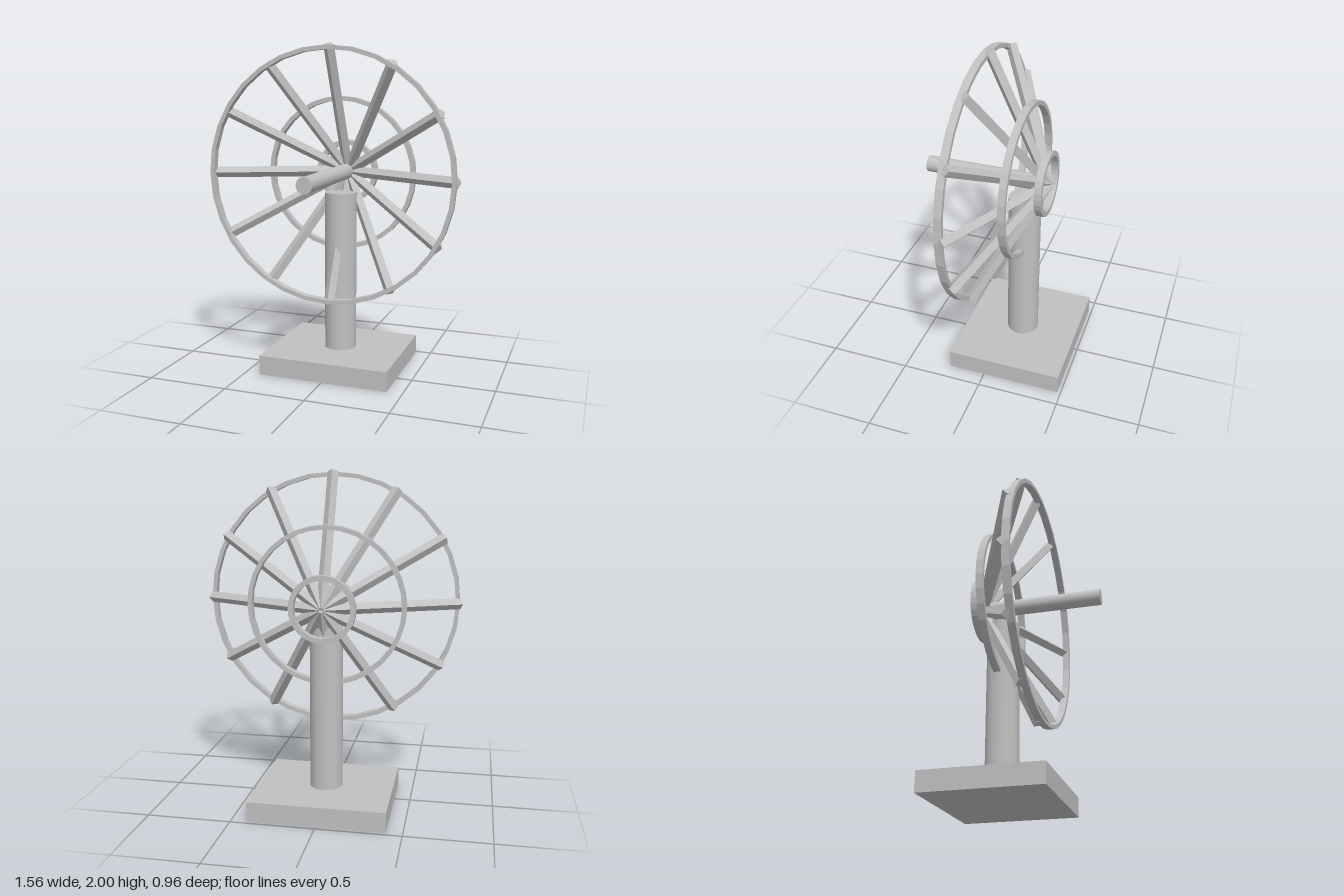
import * as THREE from 'three';

const HUB_Y = 1.222;
const COLUMN_Z = -0.127;

// Give every facet its own flat normals
function faceted(geometry) {
  const flat = geometry.toNonIndexed();
  flat.computeVertexNormals();
  return flat;
}

// Flat hoop of rectangular section around the z axis
function hoopGeometry(outer, inner, zBack, zFront) {
  const profile = [
    [outer, zBack], [outer, zFront], [inner, zFront], [inner, zBack], [outer, zBack],
  ].map(([r, z]) => new THREE.Vector2(r, z));
  return faceted(new THREE.LatheGeometry(profile, 32).rotateX(Math.PI / 2));
}

export function createModel() {
  const model = new THREE.Group();
  model.name = 'dishAntenna';
  const grey = new THREE.MeshStandardMaterial({ color: 0xc0c0c0 });
  grey.name = 'light grey';

  const add = (name, geometry, parent = model) => {
    const mesh = new THREE.Mesh(geometry, grey);
    mesh.name = name;
    parent.add(mesh);
    return mesh;
  };

  // Base slab and column
  add('base', new THREE.BoxGeometry(0.81, 0.12, 0.705)).position.set(0, 0.06, COLUMN_Z);
  add('column', new THREE.CylinderGeometry(0.098, 0.098, 0.985, 32)).position.set(0, 0.6125, COLUMN_Z);

  // Open dish, centred on the hub axis
  const dish = new THREE.Group();
  dish.name = 'dish';
  dish.position.y = HUB_Y;
  model.add(dish);

  // Central shaft along the axis
  const shaftBack = -0.23, shaftFront = 0.48;
  const shaft = new THREE.CylinderGeometry(0.048, 0.048, shaftFront - shaftBack, 32).rotateX(Math.PI / 2);
  add('shaft', shaft, dish).position.z = (shaftFront + shaftBack) / 2;

  // Three hoops
  add('rimHoop', hoopGeometry(0.763, 0.738, 0.083, 0.127), dish);
  add('middleHoop', hoopGeometry(0.468, 0.442, -0.156, -0.113), dish);
  add('rearHoop', hoopGeometry(0.195, 0.165, -0.28, -0.236), dish);

  // Twelve diamond-section spokes forming a cone
  const apexZ = -0.265, tipR = 0.765, tipZ = 0.09;
  const length = Math.hypot(tipR, tipZ - apexZ);
  const spoke = faceted(new THREE.CylinderGeometry(0.033, 0.033, length, 4));
  spoke.rotateX(Math.atan2(tipZ - apexZ, tipR));
  spoke.translate(0, tipR / 2, (apexZ + tipZ) / 2);
  for (let i = 0; i < 12; i++) {
    add('spoke' + (i + 1), spoke, dish).rotation.z = (i * Math.PI) / 6;
  }

  return model;
}
